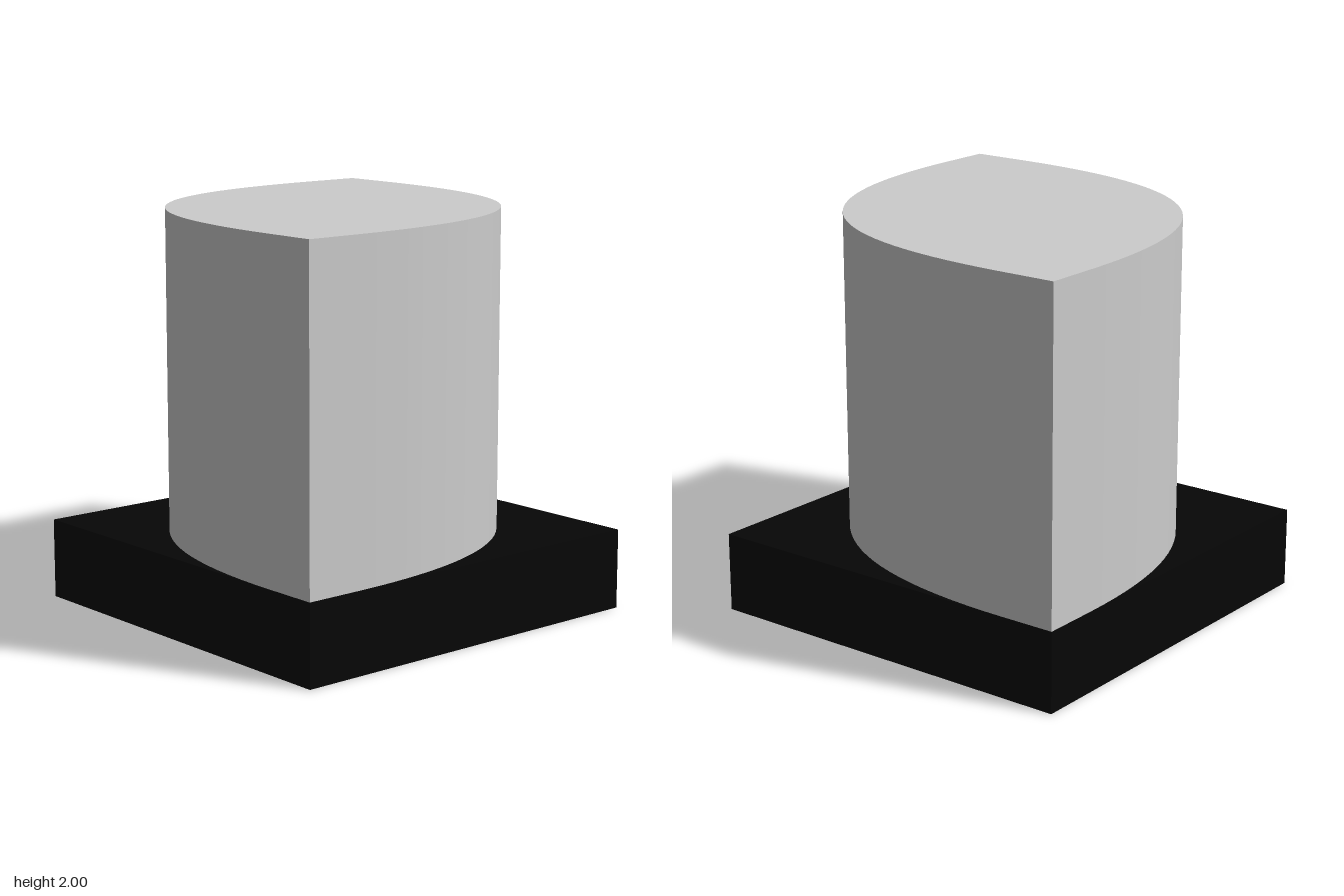
import * as THREE from 'three';

export function createModel() {
  const group = new THREE.Group();

  // Square plinth
  const base = new THREE.Mesh(
    new THREE.BoxGeometry(2, 0.4, 2),
    new THREE.MeshStandardMaterial({ color: 0x060606 })
  );
  base.name = 'base';
  base.position.y = 0.2;
  group.add(base);

  // Leaf-shaped block: two opposite corners stay sharp, the other two are
  // swept round, each curve starting a short straight run from the sharp corner
  const start = 0.72, pull = 0.44;
  const leaf = new THREE.Shape();
  leaf.moveTo(-1, -1);
  leaf.lineTo(-start, -1);
  leaf.bezierCurveTo(pull, -1, 1, -pull, 1, start);
  leaf.lineTo(1, 1);
  leaf.lineTo(start, 1);
  leaf.bezierCurveTo(-pull, 1, -1, pull, -1, -start);
  leaf.closePath();

  const geometry = new THREE.ExtrudeGeometry(leaf, {
    depth: 1.6, bevelEnabled: false, curveSegments: 32,
  });
  geometry.rotateX(-Math.PI / 2);
  const block = new THREE.Mesh(
    geometry,
    new THREE.MeshStandardMaterial({ color: 0xcccccc, flatShading: true })
  );
  block.name = 'leafBlock';
  block.position.y = 0.4;
  group.add(block);

  return group;
}
